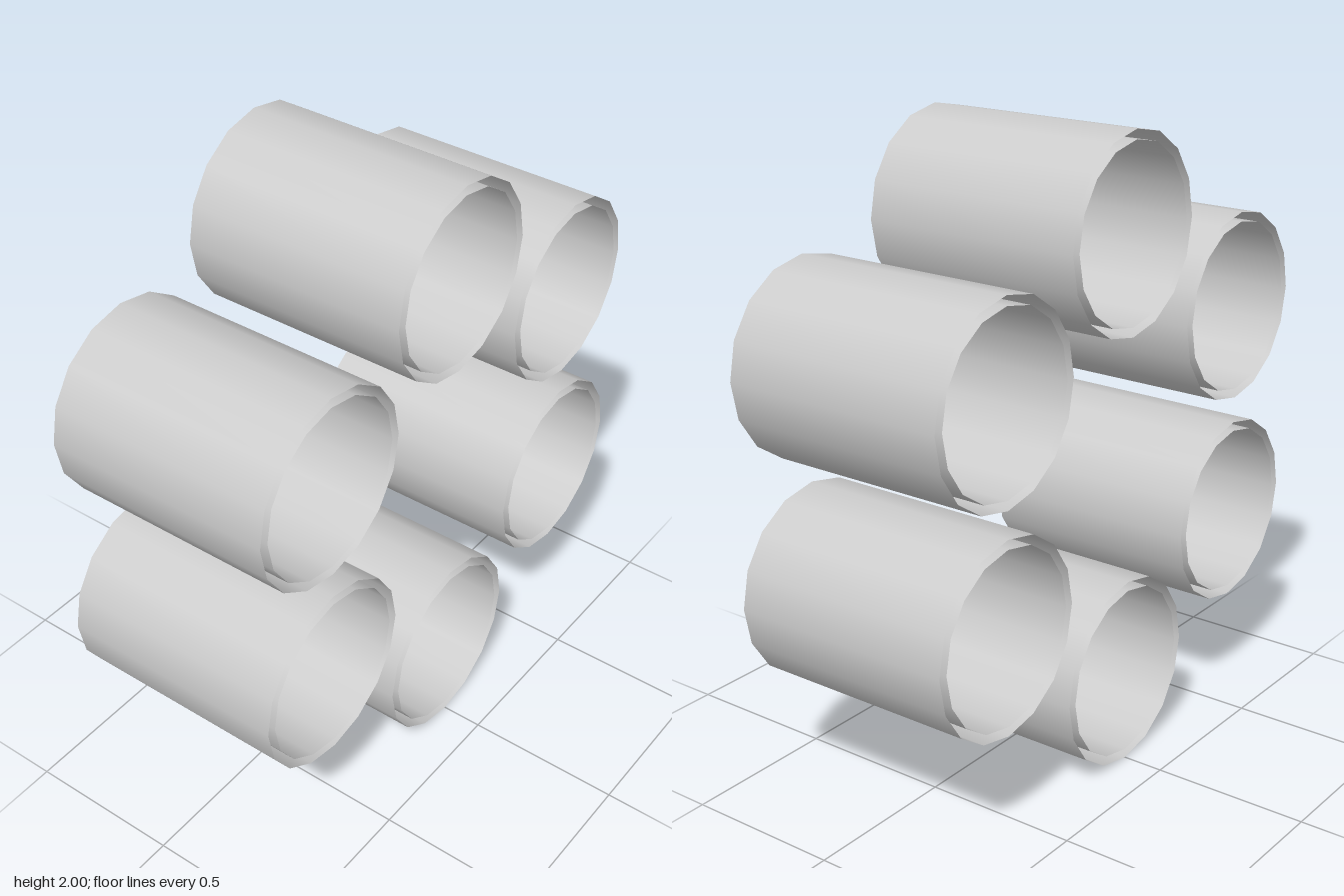
import * as THREE from 'three';

const SIDES = 16, OUTER = 0.305, INNER = 0.275, LENGTH = 0.734, RING = 0.695;

export function createModel() {
  const model = new THREE.Group();
  model.name = 'tubeCluster';
  const material = new THREE.MeshStandardMaterial({ color: 0xcccccc, side: THREE.DoubleSide });

  // Open wall running along z
  const wall = (radius) =>
    new THREE.CylinderGeometry(radius, radius, LENGTH, SIDES, 1, true).rotateX(Math.PI / 2);
  const outerGeometry = wall(OUTER);
  const innerGeometry = wall(INNER);
  innerGeometry.scale(-1, 1, 1); // mirrored so that the faces look into the bore

  // Six double-walled tubes with open ends, spaced around a hexagon
  for (let i = 0; i < 6; i++) {
    const angle = Math.PI / 2 + (i * Math.PI) / 3;
    const tube = new THREE.Group();
    tube.name = `tube${i + 1}`;
    const outer = new THREE.Mesh(outerGeometry, material);
    outer.name = 'outerWall';
    const inner = new THREE.Mesh(innerGeometry, material);
    inner.name = 'innerWall';
    tube.add(outer, inner);
    tube.position.set(RING * Math.cos(angle), 1 + RING * Math.sin(angle), 0);
    model.add(tube);
  }

  // Inner walls: turn the normals toward the axis to match the mirrored faces
  const normals = innerGeometry.attributes.normal;
  const points = innerGeometry.attributes.position;
  for (let i = 0; i < normals.count; i++) {
    normals.setXYZ(i, -points.getX(i) / INNER, -points.getY(i) / INNER, 0);
  }
  return model;
}
